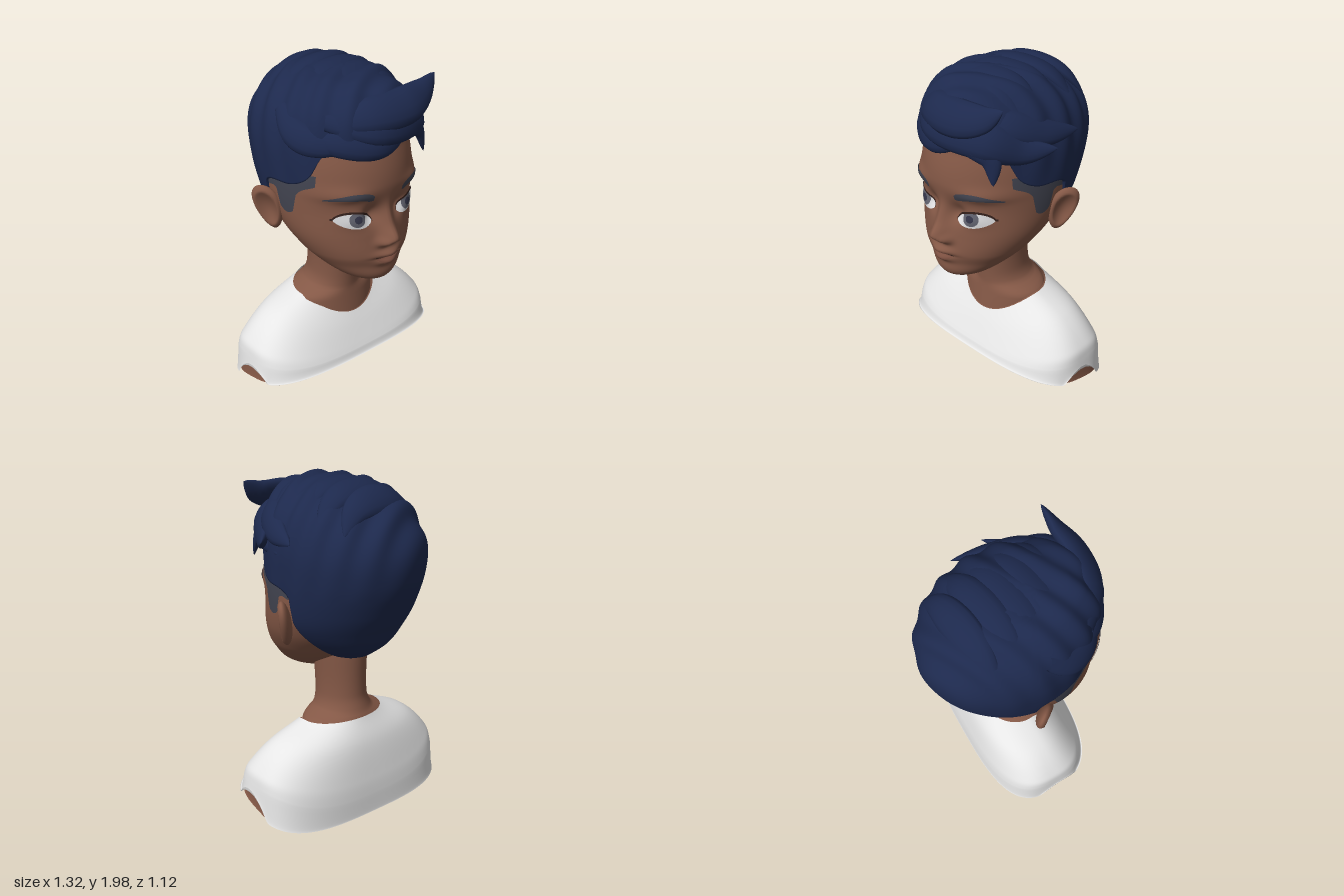
import * as THREE from 'three';

const mat = (name, color) => new THREE.MeshStandardMaterial({ name, color, side: THREE.DoubleSide });
const V = (x, y, z) => new THREE.Vector3(x, y, z);
const { clamp, lerp, radToDeg } = THREE.MathUtils;

// Smooth lookup in a table whose rows are keyed by their first number
function at(rows, key) {
  let i = 0;
  while (i < rows.length - 2 && key > rows[i + 1][0]) i++;
  const a = rows[i], b = rows[i + 1], p = rows[i - 1] || a, n = rows[i + 2] || b;
  const h = b[0] - a[0], u = clamp((key - a[0]) / h, 0, 1), u2 = u * u, u3 = u2 * u;
  return a.map((v, k) => (2 * u3 - 3 * u2 + 1) * v + (3 * u2 - 2 * u3) * b[k]
    + (u3 - 2 * u2 + u) * h * (b[k] - p[k]) / (b[0] - p[0])
    + (u3 - u2) * h * (n[k] - a[k]) / (n[0] - a[0]));
}

// Grid surface: fn(v, u) gives a point; closed joins the last column to the first
function grid(n, m, fn, closed) {
  const pos = [], idx = [], cols = closed ? m : m + 1;
  for (let i = 0; i <= n; i++)
    for (let j = 0; j < cols; j++) pos.push(...fn(i / n, j / m).toArray());
  for (let i = 0; i < n; i++)
    for (let j = 0; j < m; j++) {
      const a = i * cols + j, b = i * cols + (j + 1) % cols, c = a + cols, d = b + cols;
      if (closed) idx.push(a, c, b, b, c, d); else idx.push(a, b, c, b, d, c);
    }
  const g = new THREE.BufferGeometry();
  g.setAttribute('position', new THREE.Float32BufferAttribute(pos, 3));
  g.setIndex(idx);
  g.computeVertexNormals();
  return g;
}
const loft = (n, m, fn) => grid(n, m, (v, u) => fn(v, u * Math.PI * 2), true);
const ringPoint = ([y, w, zf, zb], a, s = 1) =>
  V(w * s * Math.cos(a), y, (zf + zb) / 2 + (zf - zb) / 2 * s * Math.sin(a));

// Cross-sections: height, half width, front z, back z
const headRows = [[0.8, 0.05, 0.4, 0.2], [0.82, 0.13, 0.445, 0.12], [0.86, 0.193, 0.47, 0.04],
  [0.93, 0.265, 0.473, -0.08], [1, 0.32, 0.487, -0.17], [1.12, 0.38, 0.475, -0.29],
  [1.27, 0.41, 0.458, -0.4], [1.43, 0.413, 0.478, -0.47], [1.6, 0.395, 0.447, -0.48],
  [1.74, 0.34, 0.385, -0.43], [1.88, 0.05, 0.1, -0.1]];
const neckRows = [[0.4, 0.28, 0.18, -0.25], [0.55, 0.275, 0.158, -0.24], [0.578, 0.235, 0.154, -0.232],
  [0.605, 0.175, 0.152, -0.215], [0.7, 0.143, 0.156, -0.188], [1, 0.15, 0.18, -0.19]];
const hairRows = [[0.95, 0.18, 0.3, -0.208], [1.05, 0.3, 0.42, -0.335], [1.17, 0.385, 0.46, -0.41],
  [1.29, 0.418, 0.47, -0.475], [1.48, 0.432, 0.48, -0.545], [1.65, 0.423, 0.475, -0.55],
  [1.8, 0.375, 0.462, -0.475], [1.91, 0.28, 0.4, -0.34], [1.965, 0.17, 0.31, -0.18], [1.985, 0.01, 0.15, 0.1]];
// Lower edge of the hair: angle from the side in degrees, height
const hairline = [[-90, 0.953], [-60, 0.965], [-35, 1.01], [-12, 1.2], [-6, 1.37], [20, 1.42],
  [32, 1.48], [42, 1.62], [60, 1.66], [90, 1.66]];
// Shirt: step, half width, front z, back z, then height at front, side and back
const shirtRows = [[0, 0.27, 0.185, -0.24, 0.435, 0.57, 0.585], [2, 0.48, 0.225, -0.31, 0.365, 0.475, 0.44],
  [4, 0.62, 0.275, -0.355, 0.27, 0.335, 0.23], [5, 0.645, 0.295, -0.368, 0.23, 0.25, 0.12],
  [6, 0.66, 0.315, -0.375, 0.19, 0.1, 0.01]];

// Soft swellings of the face: x, y, width, reach up, reach down, depth
const swellings = [
  [0, 1.115, 0.05, 0.065, 0.042, 0.077], // nose tip
  [0, 1.22, 0.04, 0.08, 0.07, 0.03], // bridge
  [0.05, 1.088, 0.03, 0.03, 0.025, 0.034], // nostrils
  [0, 1.008, 0.075, 0.025, 0.022, 0.032], // upper lip
  [0, 0.952, 0.065, 0.022, 0.025, 0.028], // lower lip
  [0, 0.983, 0.08, 0.008, 0.008, -0.015], // mouth crease
  [0.19, 1.24, 0.085, 0.05, 0.05, 0.014], // eyes
  [0.095, 1.255, 0.05, 0.06, 0.05, -0.036], // inner eye corners
  [0.25, 1.39, 0.11, 0.05, 0.035, 0.025]]; // brow ridge
const swell = (x, y) => swellings.reduce((sum, [cx, cy, sx, up, down, d]) => {
  const dx = ((cx ? Math.abs(x) : x) - cx) / sx, dy = (y - cy) / (y > cy ? up : down);
  return sum + d * Math.exp(-dx * dx - dy * dy);
}, 0);
function faceSurface(x, y, off) {
  const [, w, zf, zb] = at(headRows, y);
  return V(x, y, (zf + zb) / 2 + (zf - zb) / 2 * Math.sqrt(Math.max(0, 1 - (x / w) ** 2)) + swell(x, y) + off);
}
function sideSurface(z, y, off) {
  const [, w, zf, zb] = at(headRows, y);
  return V(w * Math.sqrt(1 - ((z - (zf + zb) / 2) / ((zf - zb) / 2)) ** 2) + off, y, z);
}
// Thin painted plate between a lower and an upper curve, following the head
const plate = (s0, s1, lo, hi, off, surface = faceSurface) => grid(6, 28, (v, u) => {
  const s = lerp(s0, s1, u);
  return surface(s, lerp(lo(s), hi(s), v), off);
}, false);

function shirtPoint(v, a, scale, armholes) {
  const [, w, zf, zb, yf, ys, yb] = at(shirtRows, (1 - v) * 6);
  const e = 2 / lerp(3.1, 2, v), c = Math.cos(a), s = Math.sin(a), rim = Math.max(0, 1 - v * 6);
  const x = w * scale * Math.sign(c) * Math.abs(c) ** e;
  const z = (zf + zb) / 2 + (zf - zb) / 2 * scale * Math.sign(s) * Math.abs(s) ** e;
  let y = lerp(lerp(ys, s > 0 ? yf : yb, s * s), 0.108 + 0.261 * z, rim);
  if (armholes && Math.abs(x) > 0.5) y += 0.12 * rim * Math.max(0, 1 - ((z + 0.01) / 0.145) ** 2);
  return V(x, y, z);
}

// Flat tapering lock of hair along a path
function lockGeometry(points, r) {
  const curve = new THREE.CatmullRomCurve3(points);
  return loft(32, 14, (v, a) => {
    const p = curve.getPoint(v), t = curve.getTangent(v);
    const out = p.clone().sub(V(0, 1.5, 0));
    out.addScaledVector(t, -out.dot(t)).normalize();
    const side = t.clone().cross(out), k = r * Math.max(0.001, Math.sin(Math.PI * (0.12 + 0.88 * v))) ** 0.75;
    return p.addScaledVector(side, 1.25 * k * Math.cos(a)).addScaledVector(out, 0.65 * k * Math.sin(a));
  });
}
// Path over the crown from right to left, rising out of the hair and drifting back
const crownPath = z0 => [0, 0.25, 0.5, 0.75, 1].map(u => {
  const z = z0 - 0.1 * u * u, depth = Math.abs(z + 0.02) / 0.52;
  const x = lerp(-0.33, 0.39, u) * Math.sqrt(1 - depth * depth);
  const dome = Math.max(0, 1 - Math.abs(x / 0.43) ** 2.5 - depth ** 2.5) ** 0.4;
  return V(x, 1.5 + 0.445 * dome - 0.05 * (1 - u) ** 3, z);
});

// Dished ear, built for the left side
function earGeometry() {
  const g = new THREE.SphereGeometry(1, 36, 28), p = g.attributes.position;
  for (let i = 0; i < p.count; i++) {
    const u = p.getX(i), v = p.getY(i), w = p.getZ(i), r2 = u * u + v * v;
    const along = 0.1 * u * (0.8 + 0.2 * v) + 0.02 * v;
    const thick = 0.042 * w - (w > 0 ? 0.045 * Math.max(0, 1 - r2 / 0.6) : 0);
    p.setXYZ(i, 0.435 + 0.018 * v + 0.59 * along + 0.81 * thick, 1.22 + 0.138 * v, -0.045 - 0.81 * along + 0.59 * thick);
  }
  g.computeVertexNormals();
  return g;
}

export function createModel() {
  const skin = mat('skin', 0x845846), cloth = mat('shirt white', 0xe6e6e6), navy = mat('hair navy', 0x1d294d);
  const shaved = mat('shaved slate', 0x41434f), white = mat('eye white', 0xdedee0), iris = mat('iris grey', 0x636470);
  const pupil = mat('pupil', 0x35364a), dark = mat('dark line', 0x35211c), lip = mat('lip', 0x7b4f40);
  const model = new THREE.Group(), head = new THREE.Group();
  head.name = 'head';
  head.position.x = -0.018;
  model.add(head);
  const add = (parent, name, geometry, material) => {
    const m = new THREE.Mesh(geometry, material);
    m.name = name;
    parent.add(m);
  };

  // Bust
  add(model, 'shirt', loft(48, 160, (v, a) => shirtPoint(v, a, 1, true)), cloth);
  add(model, 'chest', loft(24, 96, (v, a) => shirtPoint(v, a, 0.965, false)), skin);
  add(model, 'chestBase', loft(1, 96, (v, a) => v ? shirtPoint(0, a, 0.965, false) : V(0, 0.1, -0.03)), skin);
  add(head, 'neck', loft(40, 48, (v, a) => ringPoint(at(neckRows, lerp(0.4, 1, v)), a)), skin);

  // Face
  add(head, 'face', loft(130, 160, (v, a) => {
    const p = ringPoint(at(headRows, lerp(0.8, 1.88, v)), a, v === 0 ? 0.01 : 1);
    if (Math.sin(a) > 0) p.z += swell(p.x, p.y);
    return p;
  }), skin);
  const mouth = x => 0.983 + 0.008 * (x / 0.088) ** 2, full = x => Math.max(0, 1 - (x / 0.088) ** 2);
  add(head, 'upperLip', plate(-0.088, 0.088, mouth, x => mouth(x) + 0.03 * full(x) ** 0.8, 0.003), lip);
  add(head, 'lowerLip', plate(-0.088, 0.088, x => mouth(x) - 0.042 * full(x) ** 0.8, mouth, 0.003), lip);
  add(head, 'mouthLine', plate(-0.092, 0.092, x => mouth(x) - 0.003, x => mouth(x) + 0.003, 0.005), dark);

  // Paired parts, mirrored across the head
  const T = x => (x - 0.19) / 0.1, round = x => Math.max(0, 1 - T(x) ** 2);
  const lidHi = x => 1.236 + 0.013 * T(x) + 0.054 * round(x) ** 0.6;
  const lidLo = x => 1.236 + 0.013 * T(x) - 0.043 * round(x) ** 0.7;
  const disc = (r, off) => {
    const h = x => Math.sqrt(Math.max(0, r * r - (x - 0.178) ** 2));
    return plate(0.178 - r, 0.178 + r, x => Math.max(lidLo(x), 1.25 - h(x)), x => Math.min(lidHi(x), 1.25 + h(x)), off);
  };
  const browT = x => (x - 0.1) / 0.23;
  const browY = x => 1.372 + 0.03 * Math.sin(Math.PI * 0.9 * browT(x)) - 0.012 * browT(x);
  const browH = x => 0.004 + 0.02 * (1 - browT(x) ** 2) * Math.min(1, 0.5 + 6 * browT(x));
  const burn = [[-0.06, 1.36], [0.02, 1.36], [0.05, 1.26], [0.14, 1.26], [0.165, 1.37], [0.27, 1.44]];
  const ear = earGeometry();
  for (const [side, sign] of [['left', 1], ['right', -1]]) {
    const half = new THREE.Group();
    half.name = side + 'Features';
    half.scale.x = sign;
    head.add(half);
    add(half, side + 'Ear', ear, skin);
    add(half, side + 'Eye', plate(0.09, 0.29, lidLo, lidHi, 0.005), white);
    add(half, side + 'Iris', disc(0.046, 0.007), iris);
    add(half, side + 'Pupil', disc(0.022, 0.009), pupil);
    add(half, side + 'Lashes', plate(0.088, 0.3, x => lidHi(x) - 0.004, x => lidHi(x) + 0.009, 0.009), dark);
    add(half, side + 'Brow', plate(0.1, 0.33, x => browY(x) - browH(x), x => browY(x) + browH(x), 0.007), shaved);
    add(half, side + 'Sideburn', plate(-0.06, 0.27, z => at(burn, z)[1], () => 1.5, 0.007, sideSurface), shaved);
  }

  // Hair shell with combed ridges
  add(head, 'hair', loft(90, 160, (v, a) => {
    const edge = at(hairline, radToDeg(Math.asin(clamp(Math.sin(a), -1, 1))))[1];
    const y = lerp(edge, 1.985, 1 - (1 - v) ** 1.4);
    const p = ringPoint(at(hairRows, y), a, v === 0 ? 0.94 : 1);
    const ridge = 0.012 * Math.sin(36 * (p.z + 0.3 * p.x + 0.06 * Math.sin(4 * p.x)) + 6 * p.y) * clamp((y - 1.4) / 0.4, 0, 1);
    const out = p.clone().sub(V(0, 1.45, -0.03)).normalize();
    return p.addScaledVector(out, ridge);
  }), navy);

  // Locks combed over the crown
  [0.27, 0.14, 0, -0.14, -0.28].forEach((z, i) =>
    add(head, 'crownLock' + (i + 1), lockGeometry(crownPath(z), 0.085), navy));

  // Fringe and side locks
  const fringe = (name, r, ...points) => add(head, name, lockGeometry(points.map(p => V(...p)), r), navy);
  fringe('upperFringe', 0.085, [-0.3, 1.78, 0.2], [-0.1, 1.83, 0.4], [0.12, 1.84, 0.44], [0.27, 1.87, 0.41], [0.385, 1.945, 0.385]);
  fringe('lowerFringe', 0.075, [-0.36, 1.73, 0.13], [-0.22, 1.7, 0.35], [-0.02, 1.68, 0.45], [0.29, 1.8, 0.32]);
  fringe('middleFringe', 0.085, [-0.28, 1.8, 0.27], [-0.05, 1.76, 0.44], [0.25, 1.73, 0.37], [0.37, 1.66, 0.22], [0.49, 1.665, 0.08]);
  fringe('sweptLock', 0.07, [0.05, 1.82, 0.4], [0.28, 1.79, 0.26], [0.39, 1.72, 0.07], [0.45, 1.69, -0.13]);
  fringe('hangingLock', 0.055, [0.02, 1.73, 0.45], [0.18, 1.72, 0.43], [0.29, 1.64, 0.38], [0.325, 1.5, 0.395]);
  fringe('templeLock', 0.06, [0.2, 1.72, 0.38], [0.33, 1.66, 0.27], [0.42, 1.6, 0.02]);
  fringe('rightLock', 0.065, [-0.36, 1.82, 0], [-0.375, 1.72, 0.14], [-0.32, 1.68, 0.27], [-0.18, 1.67, 0.4]);

  return model;
}
